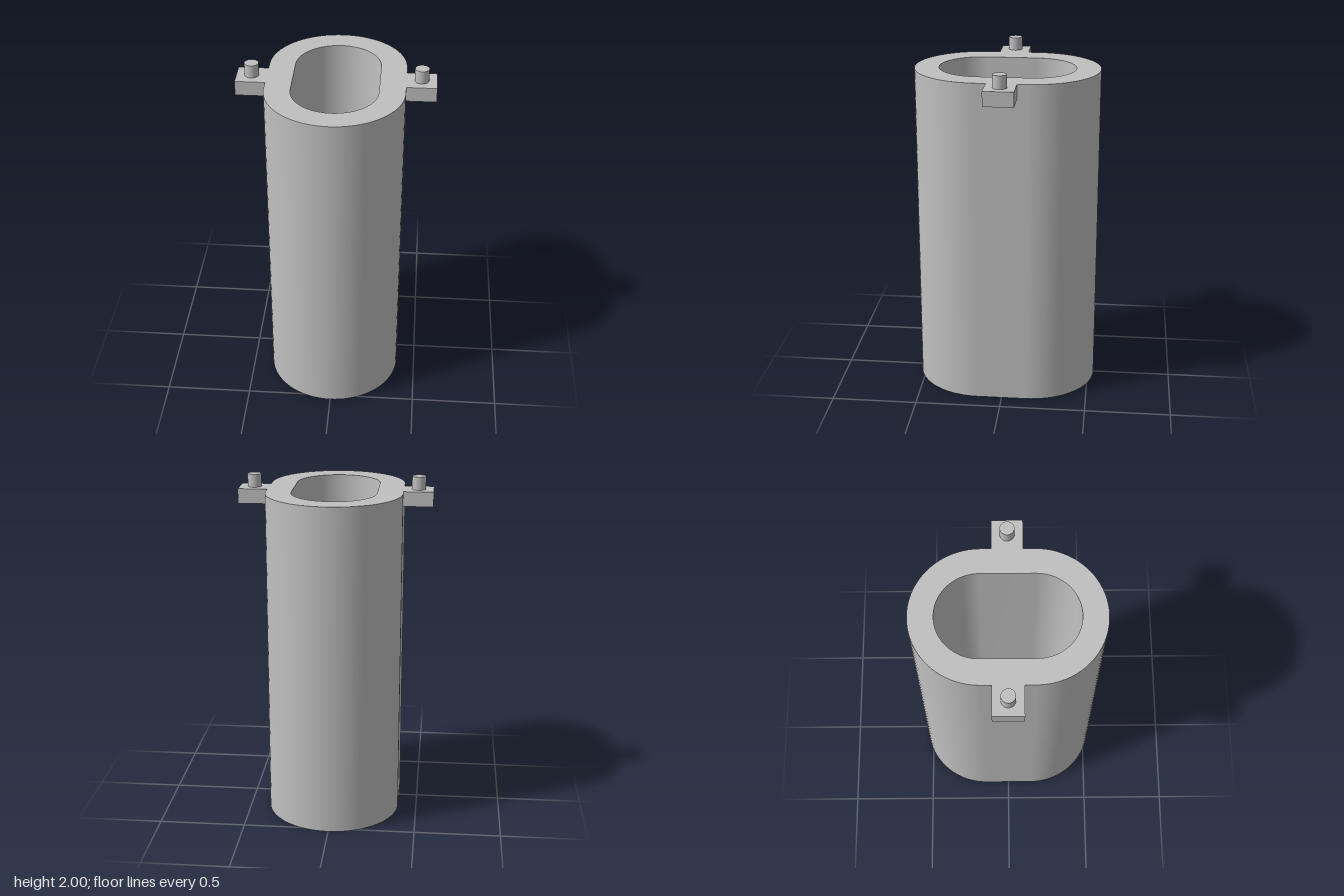
import * as THREE from 'three';

const TOP = 1.925, FLOOR = 0.15, FILLET = 0.1;
const OUTER = { r: 0.39, s: 0.146 }, INNER = { r: 0.243, s: 0.152 };

// Outline of a slot: two half circles of radius r, moved apart by s each way
function slot(r, s, n = 40) {
  const pts = [];
  for (const side of [1, -1]) {
    for (let i = 0; i <= n; i++) {
      const a = (i / n) * Math.PI + (side > 0 ? 0 : Math.PI);
      pts.push(new THREE.Vector2(r * Math.cos(a), r * Math.sin(a) + side * s));
    }
  }
  return pts;
}

// Skin through slot rings {r, s, y}; faces outward when y rises, inward when it falls
function loft(rings) {
  const pos = [], idx = [];
  let n = 0;
  rings.forEach(({ r, s, y }) => {
    const pts = slot(r, s);
    n = pts.length;
    pts.forEach((p) => pos.push(p.x, y, p.y));
  });
  for (let k = 0; k < rings.length - 1; k++) {
    for (let i = 0; i < n; i++) {
      const a = k * n + i, b = k * n + ((i + 1) % n);
      idx.push(a, a + n, b, b, a + n, b + n);
    }
  }
  const g = new THREE.BufferGeometry();
  g.setAttribute('position', new THREE.Float32BufferAttribute(pos, 3));
  g.setIndex(idx);
  g.computeVertexNormals();
  return g;
}

// Flat horizontal slot face, with an optional slot hole
function flat(outline, y, up = true, hole = null) {
  const shape = new THREE.Shape(slot(outline.r, outline.s));
  if (hole) shape.holes.push(new THREE.Path(slot(hole.r, hole.s)));
  return new THREE.ShapeGeometry(shape).rotateX(up ? -Math.PI / 2 : Math.PI / 2).translate(0, y, 0);
}

export function createModel() {
  const model = new THREE.Group();
  model.name = 'slottedContainer';
  const grey = new THREE.MeshStandardMaterial({ color: 0xc0c0c0 });
  grey.name = 'lightGrey';

  const add = (name, geometry) => {
    const mesh = new THREE.Mesh(geometry, grey);
    mesh.name = name;
    model.add(mesh);
    return mesh;
  };

  // Body
  add('outerWall', loft([{ ...OUTER, y: 0 }, { ...OUTER, y: TOP }]));
  add('base', flat(OUTER, 0, false));
  add('rim', flat(OUTER, TOP, true, INNER));

  // Cavity: slightly drafted wall, then a rounded edge into the floor
  const low = 0.217;
  add('cavityWall', loft([{ ...INNER, y: TOP }, { r: low, s: INNER.s, y: FLOOR + FILLET }]));
  const bend = [];
  for (let i = 0; i <= 12; i++) {
    const a = (i / 12) * Math.PI / 2;
    bend.push({
      r: low - FILLET * (1 - Math.cos(a)),
      s: INNER.s,
      y: FLOOR + FILLET * (1 - Math.sin(a)),
    });
  }
  add('cavityFillet', loft(bend));
  add('cavityFloor', flat({ r: low - FILLET, s: INNER.s }, FLOOR));

  // Side lugs with locating pins
  for (const [side, label] of [[1, 'left'], [-1, 'right']]) {
    add(label + 'Lug', new THREE.BoxGeometry(0.17, 0.085, 0.172))
      .position.set(side * 0.475, TOP - 0.0425, -0.002);
    add(label + 'Pin', new THREE.CylinderGeometry(0.04, 0.04, 2 - TOP, 40))
      .position.set(side * 0.474, (2 + TOP) / 2, -0.002);
  }
  return model;
}
